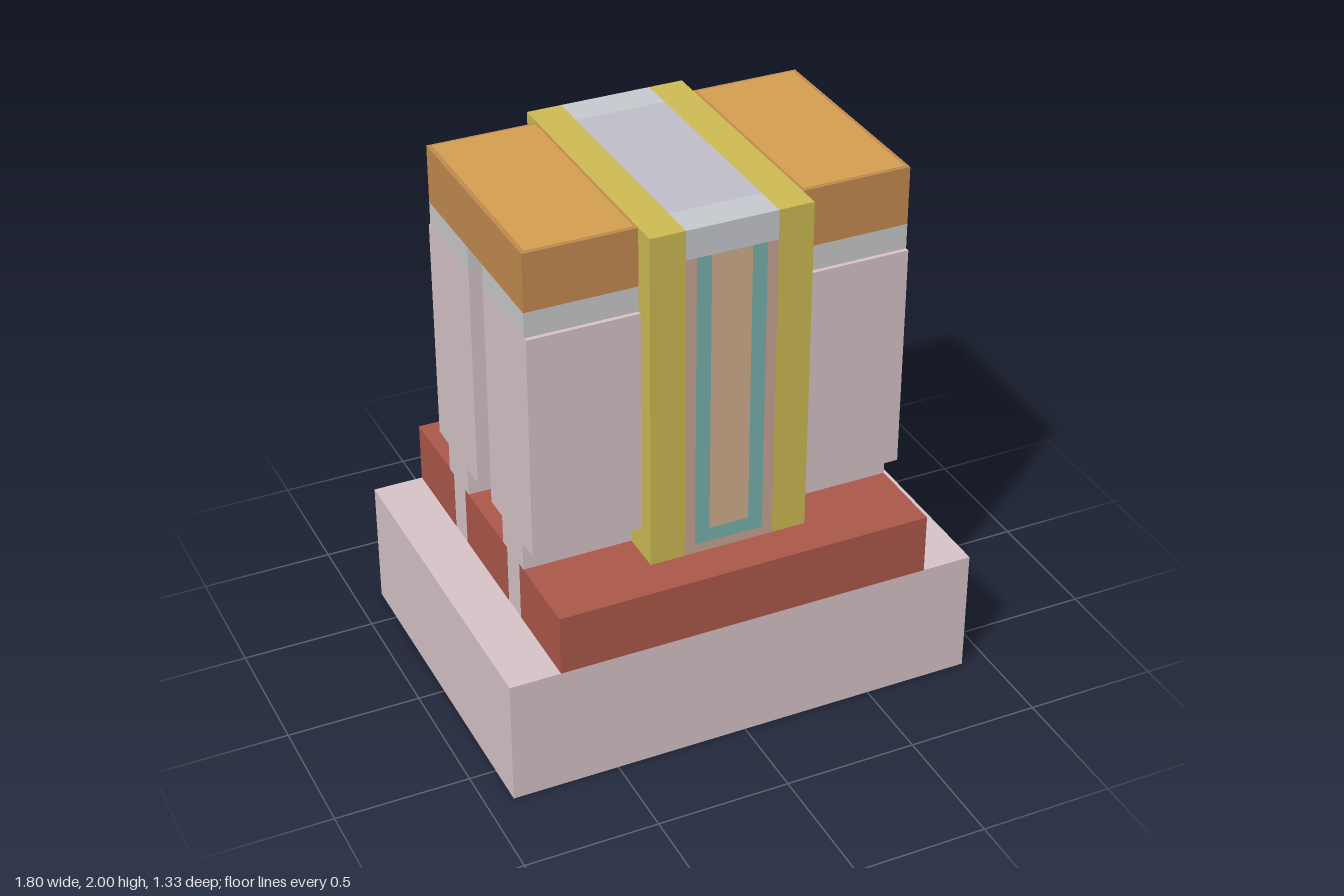
import * as THREE from 'three';

const mat = (color) => new THREE.MeshStandardMaterial({ color, flatShading: true });
const M = {
  silicon: mat(0xd8c5c9), oxide: mat(0xad5849), spacer: mat(0xcfbc55),
  contact: mat(0xc48b50), contactTop: mat(0xd6a050), silicide: mat(0xd2d2d6),
  cap: mat(0xc8cbd0), capTop: mat(0xc1bfca),
  dielectric: mat(0xc9a695), liner: mat(0x7ab3af), metal: mat(0xd3b08f),
};

// Box given by its extents along each axis
function block(parent, name, material, [x0, x1], [y0, y1], [z0, z1]) {
  const mesh = new THREE.Mesh(new THREE.BoxGeometry(x1 - x0, y1 - y0, z1 - z0), material);
  mesh.position.set((x0 + x1) / 2, (y0 + y1) / 2, (z0 + z1) / 2);
  mesh.name = name;
  parent.add(mesh);
}

// U-shaped layer, open at the top, running the depth of the gate
function trough(parent, name, material, outer, inner, bottom, floor, top, depth) {
  const points = [[-outer, bottom], [outer, bottom], [outer, top], [inner, top],
    [inner, floor], [-inner, floor], [-inner, top], [-outer, top]];
  const shape = new THREE.Shape(points.map(([x, y]) => new THREE.Vector2(x, y)));
  const geometry = new THREE.ExtrudeGeometry(shape, { depth: depth * 2, bevelEnabled: false });
  geometry.translate(0, 0, -depth);
  const mesh = new THREE.Mesh(geometry, material);
  mesh.name = name;
  parent.add(mesh);
}

const mirrored = (s, a, b) => (s > 0 ? [a, b] : [-b, -a]);

export function createModel() {
  const model = new THREE.Group();
  const gateDepth = 0.51, capBottom = 1.89;

  // Base slab with three oxide strips separated by two fins
  block(model, 'substrate', M.silicon, [-0.9, 0.9], [0, 0.485], [-0.665, 0.665]);
  block(model, 'oxideCenter', M.oxide, [-0.71, 0.71], [0.485, 0.715], [-0.197, 0.197]);
  for (const s of [1, -1]) {
    block(model, 'oxideSide', M.oxide, [-0.71, 0.71], [0.485, 0.715], mirrored(s, 0.31, 0.665));
    block(model, 'fin', M.silicon, [-0.709, 0.709], [0.485, 0.715], mirrored(s, 0.197, 0.31));
  }

  // Source and drain stacks on either side of the gate
  for (const sx of [1, -1]) {
    const stack = new THREE.Group();
    stack.name = sx > 0 ? 'leftTerminal' : 'rightTerminal';
    const x = mirrored(sx, 0.3, 0.71);
    for (const sz of [1, -1]) {
      block(stack, 'finNeck', M.silicon, x, [0.715, 0.825], mirrored(sz, 0.163, 0.348));
      block(stack, 'finBody', M.silicon, x, [0.825, 1.685], mirrored(sz, 0.065, 0.438));
      block(stack, 'silicide', M.silicide, x, [1.685, 1.78], mirrored(sz, 0.065, 0.422));
    }
    block(stack, 'contact', M.contact, x, [1.78, 1.998], [-0.422, 0.422]);
    block(stack, 'contactTop', M.contactTop, mirrored(sx, 0.31, 0.695), [1.99, 2], [-0.41, 0.41]);
    model.add(stack);
  }

  // Gate: two spacers around nested layers, closed by a cap
  const gate = new THREE.Group();
  gate.name = 'gate';
  for (const s of [1, -1]) {
    block(gate, 'spacer', M.spacer, mirrored(s, 0.17, 0.3), [0.715, 2], [-gateDepth, gateDepth]);
    block(gate, 'capEnd', M.cap, [-0.17, 0.17], [capBottom, 2], mirrored(s, 0.378, gateDepth));
  }
  block(gate, 'capMiddle', M.capTop, [-0.17, 0.17], [capBottom, 2], [-0.378, 0.378]);
  trough(gate, 'gateDielectric', M.dielectric, 0.17, 0.13, 0.715, 0.75, capBottom, gateDepth);
  trough(gate, 'gateLiner', M.liner, 0.13, 0.075, 0.75, 0.805, capBottom, gateDepth);
  block(gate, 'gateMetal', M.metal, [-0.075, 0.075], [0.805, capBottom], [-gateDepth, gateDepth]);
  model.add(gate);

  return model;
}
